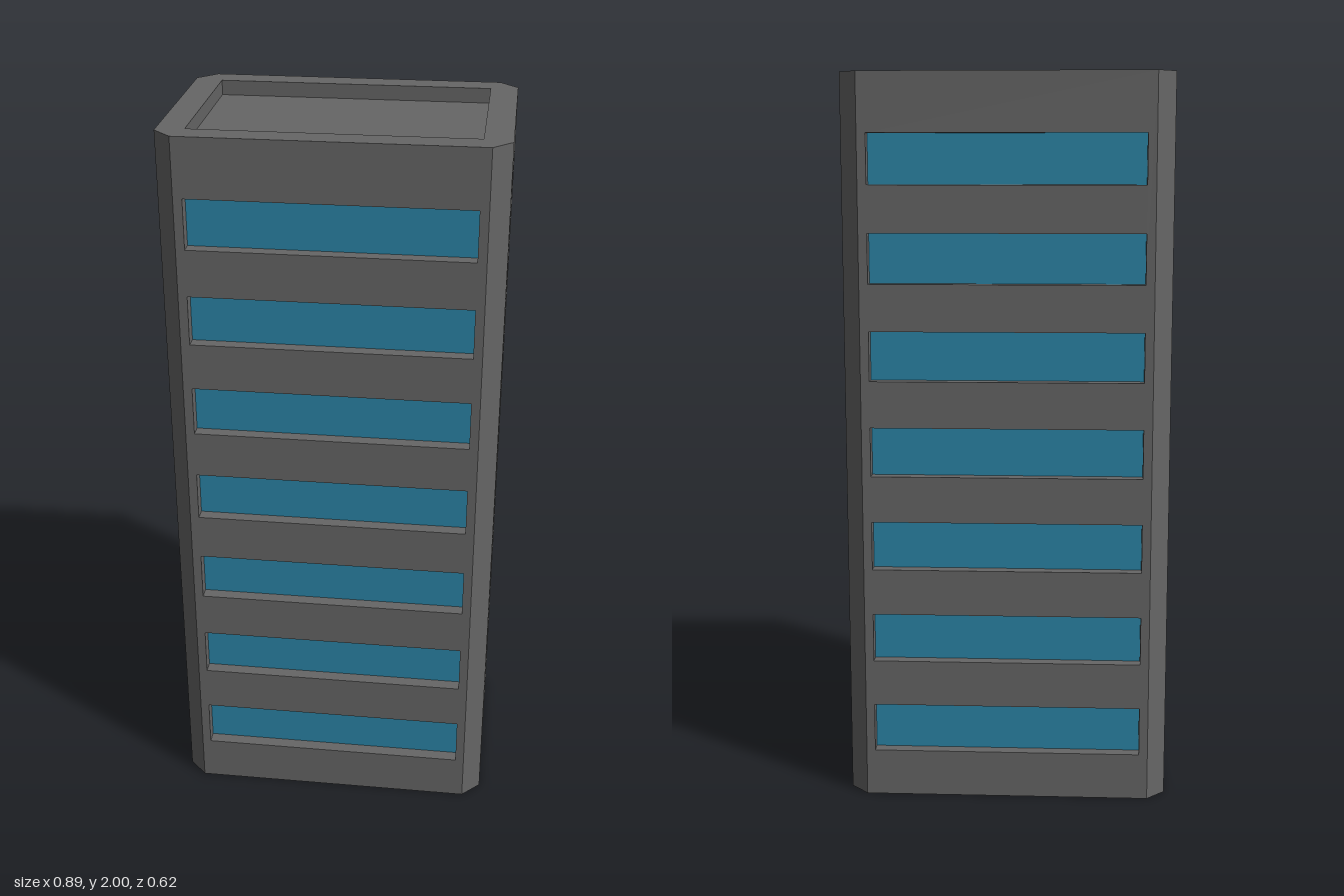
import * as THREE from 'three';

const HX = 0.445, HZ = 0.31, HEIGHT = 2, CHAMFER = 0.05;
const FLOORS = 7, FIRST = 0.197, STEP = 0.2627, WIN_H = 0.135, DEPTH = 0.035;

const wallMat = new THREE.MeshStandardMaterial({ color: 0x666666, flatShading: true });
const glassMat = new THREE.MeshStandardMaterial({ color: 0x2b86a8, flatShading: true });

function mesh(name, geometry, material) {
  const m = new THREE.Mesh(geometry, material);
  m.name = name;
  return m;
}

// Rectangle centred on (0, y); usable as an outline or a hole
function rect(Type, w, h, y = 0) {
  return new Type([[-1, -1], [1, -1], [1, 1], [-1, 1]]
    .map(([a, b]) => new THREE.Vector2(a * w / 2, y + b * h / 2)));
}

// Four inward-facing sides of a recess whose mouth lies at z = 0
function revealGeometry(w, h, d) {
  const g = new THREE.BoxGeometry(w, h, d).translate(0, 0, -d / 2);
  g.setIndex(Array.from(g.index.array).slice(0, 24).reverse());
  g.clearGroups();
  const flat = g.toNonIndexed();
  flat.computeVertexNormals();
  return flat;
}

// Recess with a back panel
function recess(name, w, h, d, backName, backMat) {
  const group = new THREE.Group();
  group.name = name;
  const back = mesh(backName, new THREE.PlaneGeometry(w, h), backMat);
  back.position.z = -d;
  group.add(mesh('reveal', revealGeometry(w, h, d), wallMat), back);
  return group;
}

// Wall with a column of recessed strip windows, facing +z
function facade(name, width, winWidth) {
  const group = new THREE.Group();
  group.name = name;
  const wall = rect(THREE.Shape, width, HEIGHT, HEIGHT / 2);
  for (let i = 0; i < FLOORS; i++) {
    const y = FIRST + i * STEP;
    wall.holes.push(rect(THREE.Path, winWidth, WIN_H, y));
    const win = recess('window', winWidth, WIN_H, DEPTH, 'glass', glassMat);
    win.position.y = y;
    group.add(win);
  }
  group.add(mesh('wall', new THREE.ShapeGeometry(wall), wallMat));
  return group;
}

// Rectangular footprint with cut corners
function footprint() {
  const a = HX - CHAMFER, b = HZ - CHAMFER;
  return new THREE.Shape([[-a, -HZ], [a, -HZ], [HX, -b], [HX, b],
    [a, HZ], [-a, HZ], [-HX, b], [-HX, -b]].map(([x, y]) => new THREE.Vector2(x, y)));
}

export function createModel() {
  const model = new THREE.Group();
  model.name = 'towerBlock';

  // Four facades
  ['front', 'left', 'back', 'right'].forEach((side, i) => {
    const wide = i % 2 === 0;
    const f = facade(side + 'Facade', 2 * ((wide ? HX : HZ) - CHAMFER), wide ? 0.742 : 0.48);
    const angle = i * Math.PI / 2, dist = wide ? HZ : HX;
    f.rotation.y = angle;
    f.position.set(Math.sin(angle) * dist, 0, Math.cos(angle) * dist);
    model.add(f);
  });

  // Chamfered corner strips
  for (const sx of [-1, 1]) {
    for (const sz of [-1, 1]) {
      const c = mesh('cornerStrip', new THREE.PlaneGeometry(CHAMFER * Math.SQRT2, HEIGHT), wallMat);
      c.position.set(sx * (HX - CHAMFER / 2), HEIGHT / 2, sz * (HZ - CHAMFER / 2));
      c.rotation.y = Math.atan2(sx, sz);
      model.add(c);
    }
  }

  // Parapet rim and sunken roof
  const rim = footprint();
  rim.holes.push(rect(THREE.Path, 0.742, 0.48));
  const roof = new THREE.Group();
  roof.name = 'roof';
  roof.add(mesh('parapetRim', new THREE.ShapeGeometry(rim), wallMat),
    recess('roofWell', 0.742, 0.48, 0.04, 'roofDeck', wallMat));
  roof.rotation.x = -Math.PI / 2;
  roof.position.y = HEIGHT;
  model.add(roof);

  // Underside
  const base = mesh('base', new THREE.ShapeGeometry(footprint()), wallMat);
  base.rotation.x = Math.PI / 2;
  model.add(base);

  return model;
}
